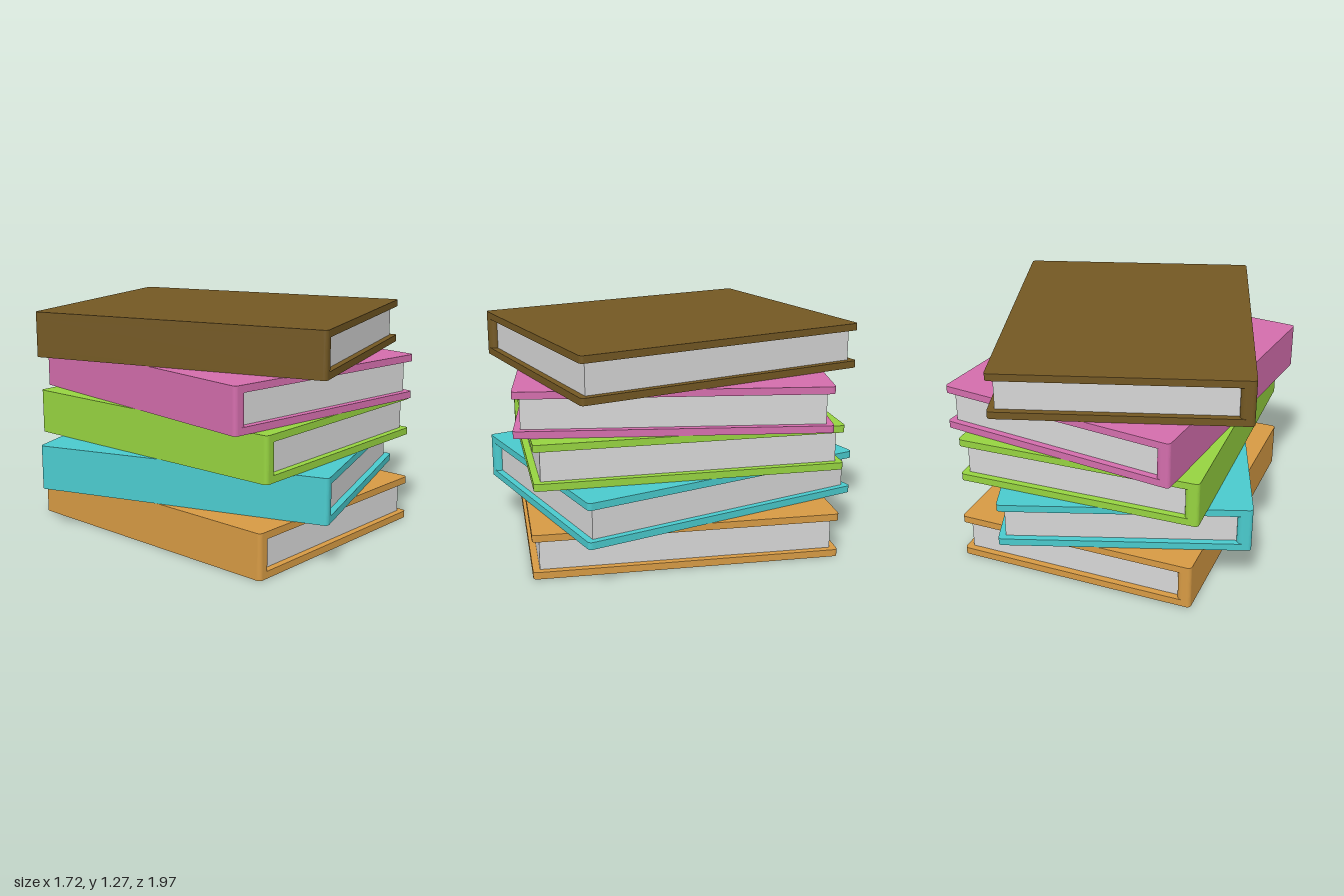
import * as THREE from 'three';

const W = 1.37, D = 1.713, H = 0.255;   // book width, depth, thickness
const COVER = 0.04, SPINE = 0.08, INSET = 0.038;

// Rectangle in plan with its own corner radius at the left and right ends
function plan(x0, x1, z, rl, rr) {
  const s = new THREE.Shape();
  s.moveTo(x0 + rl, -z);
  s.lineTo(x1 - rr, -z);
  s.absarc(x1 - rr, -z + rr, rr, -Math.PI / 2, 0);
  s.lineTo(x1, z - rr);
  s.absarc(x1 - rr, z - rr, rr, 0, Math.PI / 2);
  s.lineTo(x0 + rl, z);
  s.absarc(x0 + rl, z - rl, rl, Math.PI / 2, Math.PI);
  s.lineTo(x0, -z + rl);
  s.absarc(x0 + rl, -z + rl, rl, Math.PI, Math.PI * 1.5);
  return s;
}

// Plan outline raised along y from the base height
function slab(shape, height, y) {
  const g = new THREE.ExtrudeGeometry(shape, { depth: height, bevelEnabled: false, curveSegments: 6 });
  g.rotateX(-Math.PI / 2);
  g.translate(0, y, 0);
  return g;
}

function part(name, geometry, material) {
  const m = new THREE.Mesh(geometry, material);
  m.name = name;
  return m;
}

function makeMaterial(name, color) {
  const m = new THREE.MeshStandardMaterial({ color });
  m.name = name;
  return m;
}

export function createModel() {
  const model = new THREE.Group();
  model.name = 'bookStack';
  const paper = makeMaterial('paper', 0xd6d6d6);

  const board = plan(-W / 2, W / 2, D / 2, 0.022, 0.022);
  const inner = H - 2 * COVER;
  const bottomCover = slab(board, COVER, 0);
  const topCover = slab(board, COVER, H - COVER);
  // Spine: its inner edge is rounded back towards the pages
  const spine = slab(plan(-W / 2, -W / 2 + SPINE, D / 2, 0.022, 0.035), inner, COVER);
  // Page block, set in from the three open edges
  const px0 = -W / 2 + SPINE - 0.01, px1 = W / 2 - INSET;
  const pages = new THREE.BoxGeometry(px1 - px0, inner, D - 2 * INSET);
  pages.translate((px0 + px1) / 2, H / 2, 0);

  // Books from bottom to top: name, colour, turn in degrees
  const books = [
    ['orange', 0xd69a44, -6.2],
    ['turquoise', 0x4acacd, 13.4],
    ['green', 0x96d340, -4.6],
    ['pink', 0xd36dac, -13],
    ['brown', 0x735823, 12],
  ];
  books.forEach(([name, color, turn], i) => {
    const cloth = makeMaterial(name, color);
    const book = new THREE.Group();
    book.name = name + 'Book';
    book.add(
      part('bottomCover', bottomCover, cloth),
      part('topCover', topCover, cloth),
      part('spine', spine, cloth),
      part('pages', pages, paper),
    );
    book.position.y = i * H;
    book.rotation.y = THREE.MathUtils.degToRad(turn);
    model.add(book);
  });
  return model;
}
